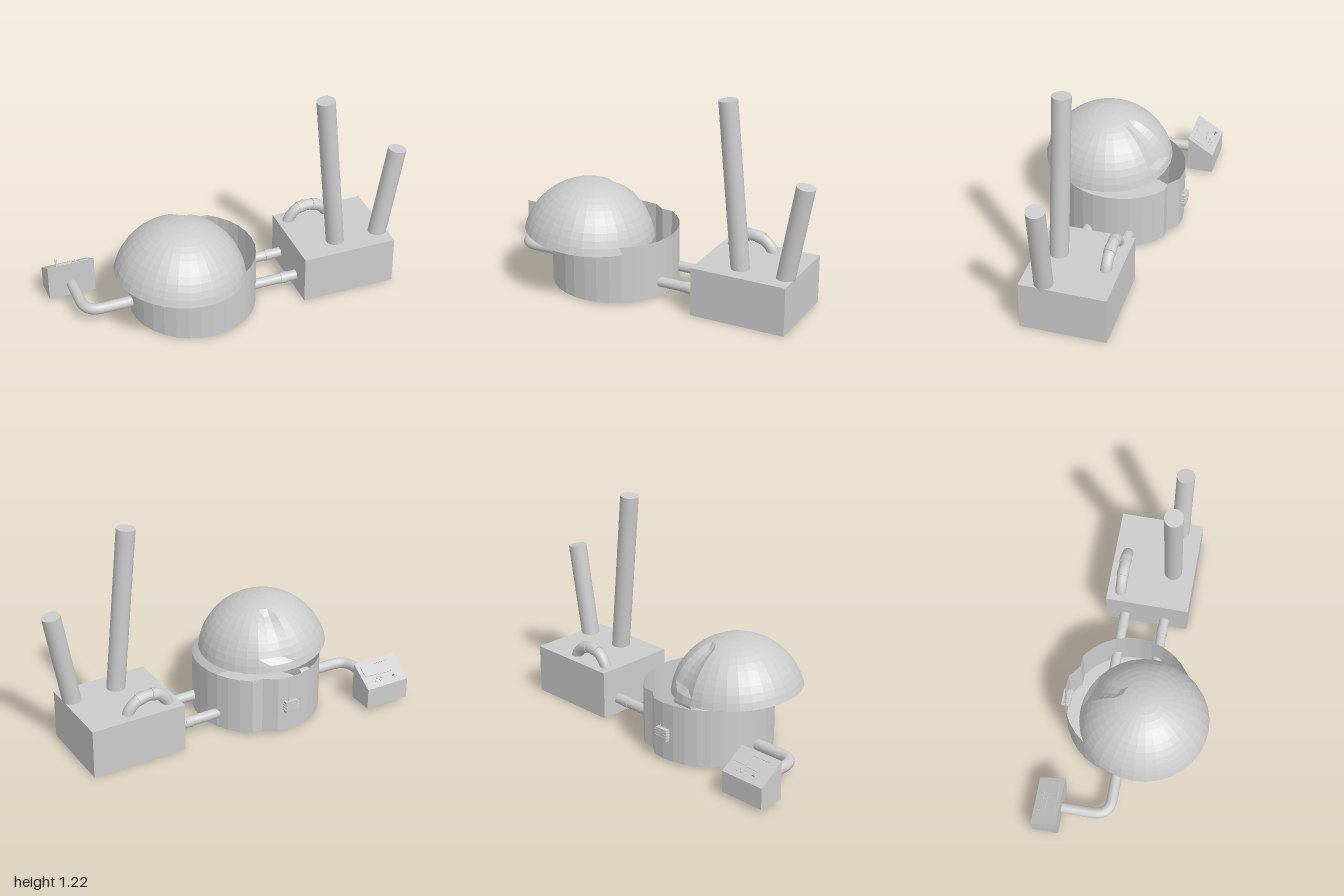
import * as THREE from 'three';

const flat = () => new THREE.MeshStandardMaterial({ color: 0xcccccc, flatShading: true, side: THREE.DoubleSide });
const smooth = () => new THREE.MeshStandardMaterial({ color: 0xcccccc });
const v = (x, y, z) => new THREE.Vector3(x, y, z);

function add(parent, name, geometry, material = flat()) {
  const mesh = new THREE.Mesh(geometry, material);
  mesh.name = name;
  parent.add(mesh);
  return mesh;
}

function box(parent, name, w, h, d, x, y, z) {
  const mesh = add(parent, name, new THREE.BoxGeometry(w, h, d));
  mesh.position.set(x, y, z);
  return mesh;
}

// Capped straight cylinder between two points
function rod(parent, name, a, b, r, sides = 20, rTop = r) {
  const mesh = add(parent, name, new THREE.CylinderGeometry(rTop, r, a.distanceTo(b), sides), smooth());
  mesh.position.copy(a).lerp(b, 0.5);
  mesh.quaternion.setFromUnitVectors(v(0, 1, 0), b.clone().sub(a).normalize());
  return mesh;
}

// Moves every vertex of a geometry by a rule
function warp(geometry, rule) {
  const p = geometry.attributes.position;
  const q = new THREE.Vector3();
  for (let i = 0; i < p.count; i++) {
    q.fromBufferAttribute(p, i);
    rule(q);
    p.setXYZ(i, q.x, q.y, q.z);
  }
  geometry.computeVertexNormals();
  return geometry;
}

export function createModel() {
  const model = new THREE.Group();
  model.name = 'powerPlant';

  // Open vessel with a vertical crease at the back
  const vessel = new THREE.Group();
  vessel.name = 'vessel';
  vessel.position.set(-0.24, 0.01, -0.03);
  model.add(vessel);
  const crease = (q) => {
    if (q.x > 0.11 && q.x < 0.16 && q.z < -0.3) q.z += 0.032;
  };
  const wall = new THREE.CylinderGeometry(0.36, 0.36, 0.33, 32, 1, true).translate(0, 0.165, 0);
  add(vessel, 'vesselWall', warp(wall, crease));
  add(vessel, 'vesselFloor', warp(new THREE.CircleGeometry(0.36, 32).rotateX(Math.PI / 2), crease));

  // Displaced dome lid with a dent in its back
  const R = 0.373;
  const cap = new THREE.SphereGeometry(R, 32, 12, 0, Math.PI * 2, 0, THREE.MathUtils.degToRad(78));
  warp(cap, (q) => {
    const polar = Math.acos(q.y / R);
    const azimuth = Math.atan2(q.x, -q.z);
    if (polar > 0.4 && polar < 1.15 && azimuth > 0.1 && azimuth < 0.5) q.multiplyScalar(0.95);
  });
  const dome = add(model, 'domeLid', cap);
  dome.position.set(-0.352, 0.242, 0.08);
  dome.rotation.set(-0.01, 0, -0.076);

  // Machine house and its leaning chimneys
  box(model, 'machineHouse', 0.55, 0.28, 0.48, 0.625, 0.14, -0.03);
  rod(model, 'tallChimney', v(0.588, 0.25, 0.085), v(0.495, 1.212, 0.085), 0.052, 24);
  rod(model, 'shortChimney', v(0.845, 0.25, 0.085), v(0.945, 0.81, 0.085), 0.052, 24);

  // Arched pipe on the roof
  const arch = new THREE.CatmullRomCurve3([
    v(0.405, 0.25, -0.195), v(0.425, 0.3, -0.195), v(0.47, 0.345, -0.195), v(0.525, 0.357, -0.195),
    v(0.59, 0.345, -0.195), v(0.64, 0.305, -0.195), v(0.665, 0.25, -0.195),
  ]);
  add(model, 'roofPipe', new THREE.TubeGeometry(arch, 24, 0.032, 12), smooth());
  for (const t of [0.4, 0.62]) {
    const p = arch.getPointAt(t);
    const d = arch.getTangentAt(t).multiplyScalar(0.02);
    rod(model, 'roofPipeCollar', p.clone().sub(d), p.clone().add(d), 0.035, 12);
  }

  // Two feed pipes with collars
  for (const z of [-0.16, 0.075]) {
    rod(model, 'feedPipe', v(-0.02, 0.09, z), v(0.36, 0.09, z), 0.029, 16);
    rod(model, 'feedPipeCollar', v(0.255, 0.09, z), v(0.295, 0.09, z), 0.032, 16);
  }

  // Bent pipe from vessel to console
  const bend = new THREE.CurvePath();
  bend.add(new THREE.LineCurve3(v(-0.54, 0.09, -0.03), v(-0.77, 0.09, -0.03)));
  bend.add(new THREE.QuadraticBezierCurve3(v(-0.77, 0.09, -0.03), v(-0.865, 0.09, -0.03), v(-0.865, 0.09, -0.13)));
  bend.add(new THREE.LineCurve3(v(-0.865, 0.09, -0.13), v(-0.865, 0.09, -0.31)));
  add(model, 'consolePipe', new THREE.TubeGeometry(bend, 36, 0.031, 14), smooth());

  // Console: wedge profile in (-z, y), extruded along x
  const profile = new THREE.Shape([[0.3, 0.02], [0.45, 0.02], [0.45, 0.14], [0.3, 0.235]].map((p) => new THREE.Vector2(...p)));
  const body = new THREE.ExtrudeGeometry(profile, { depth: 0.27, bevelEnabled: false });
  body.rotateY(Math.PI / 2).translate(-1, 0, 0);
  add(model, 'console', body);

  // Controls laid on the sloping face
  const controls = new THREE.Group();
  controls.name = 'consoleControls';
  controls.position.set(-0.865, 0.1875, -0.375);
  controls.rotation.x = -Math.atan2(0.095, 0.15);
  model.add(controls);
  box(controls, 'screen', 0.08, 0.006, 0.07, 0.07, 0, 0.025);
  box(controls, 'upperStrip', 0.16, 0.006, 0.008, -0.0, 0, 0.06);
  box(controls, 'lowerStrip', 0.09, 0.006, 0.008, -0.02, 0, -0.012);
  for (let i = 0; i < 4; i++) box(controls, 'button', 0.01, 0.01, 0.008, 0.015 + i * 0.015, 0, i % 2 ? -0.05 : -0.035);
  rod(model, 'lever', v(-0.92, 0.155, -0.41), v(-0.92, 0.187, -0.432), 0.002, 8, 0.008);

  // Small vented unit on the back of the vessel
  box(model, 'wallUnit', 0.075, 0.07, 0.035, -0.245, 0.16, -0.393);
  for (let i = 0; i < 3; i++) box(model, 'ventBar', 0.09, 0.006, 0.05, -0.245, 0.148 + i * 0.016, -0.388);
  rod(model, 'unitPin', v(-0.23, 0.19, -0.397), v(-0.23, 0.212, -0.397), 0.003, 8);

  return model;
}
